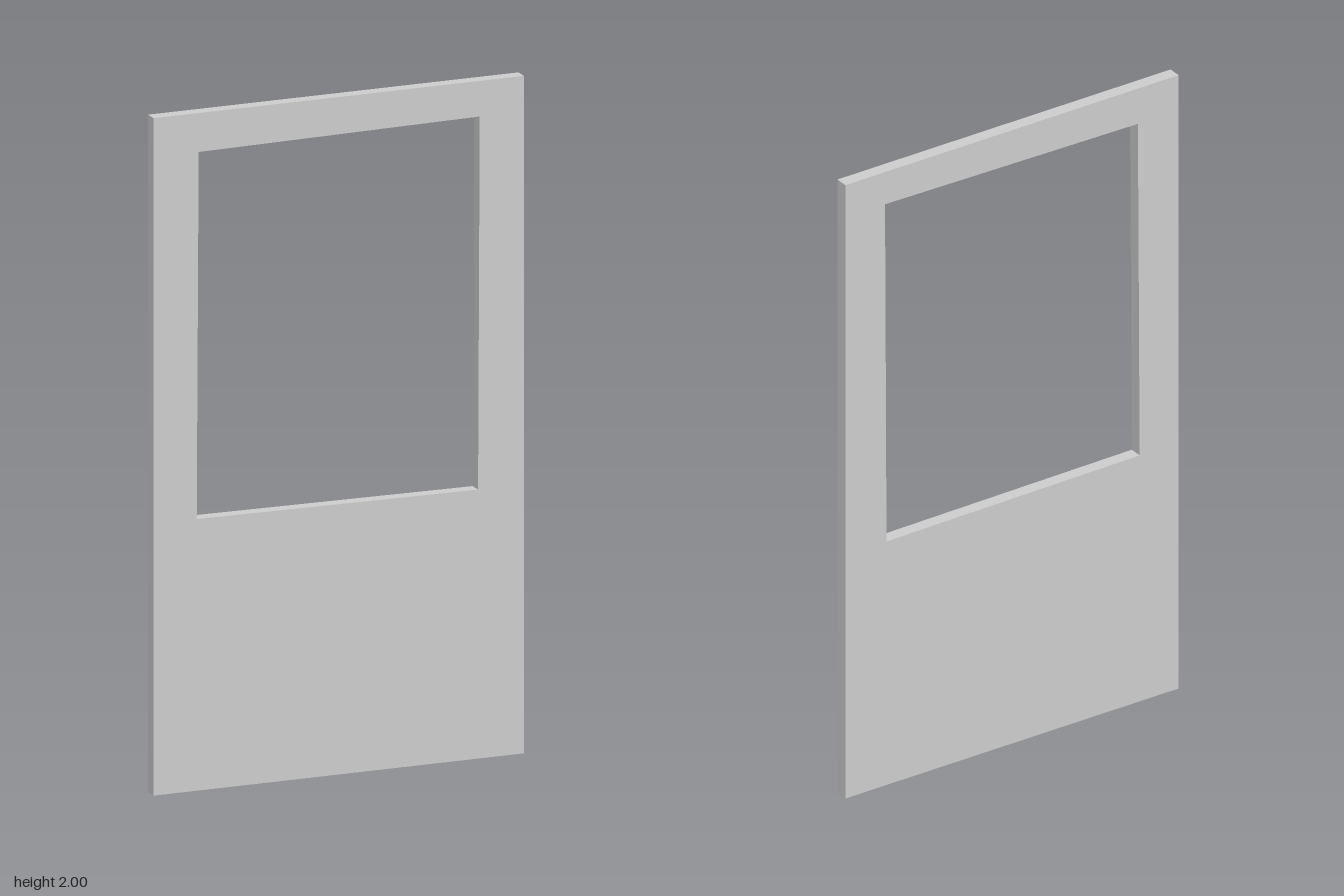
import * as THREE from 'three';

const WIDTH = 1.14, HEIGHT = 2, DEPTH = 0.04;

export function createModel() {
  const group = new THREE.Group();
  group.name = 'door';

  // Rectangular slab outline
  const outline = new THREE.Shape([
    new THREE.Vector2(-WIDTH / 2, 0),
    new THREE.Vector2(WIDTH / 2, 0),
    new THREE.Vector2(WIDTH / 2, HEIGHT),
    new THREE.Vector2(-WIDTH / 2, HEIGHT),
  ]);

  // Slightly uneven window opening in the upper part
  outline.holes.push(new THREE.Path([
    new THREE.Vector2(-0.437, 0.802),
    new THREE.Vector2(-0.431, 1.885),
    new THREE.Vector2(0.434, 1.895),
    new THREE.Vector2(0.429, 0.794),
  ]));

  const geometry = new THREE.ExtrudeGeometry(outline, { depth: DEPTH, bevelEnabled: false });
  geometry.translate(0, 0, -DEPTH / 2);

  const panel = new THREE.Mesh(geometry, new THREE.MeshStandardMaterial({ color: 0xcccccc }));
  panel.name = 'doorPanel';
  group.add(panel);
  return group;
}
